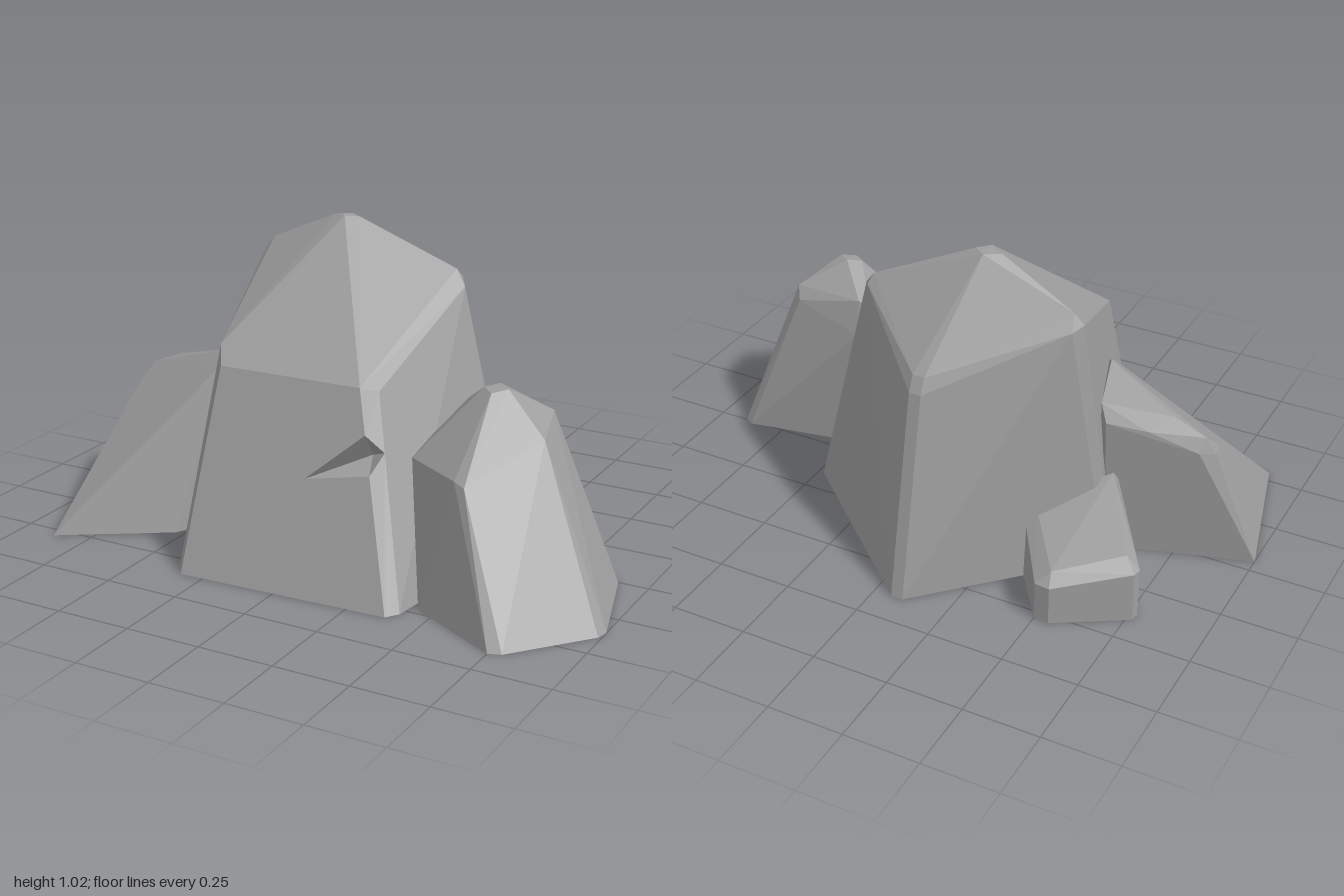
import * as THREE from 'three';
import { ConvexGeometry } from 'three/addons/geometries/ConvexGeometry.js';

const stone = new THREE.MeshStandardMaterial({
  color: 0x9e9e9e, flatShading: true, side: THREE.DoubleSide,
});
const V = (x, y, z) => new THREE.Vector3(x, y, z);
const ground = (...xz) => xz.map(([x, z]) => V(x, 0, z));
const upper = (...xyz) => xyz.map((p) => V(...p));

// Faceted hull of the corners, open underneath. Faces lying wholly in one of
// the "openings" are left out, and "patches" (triangles) are added instead.
function rock(name, points, openings = [], patches = []) {
  const pos = new ConvexGeometry(points).getAttribute('position');
  const out = [];
  for (let i = 0; i < pos.count; i += 3) {
    const tri = [0, 1, 2].map((k) => new THREE.Vector3().fromBufferAttribute(pos, i + k));
    const isBase = tri.every((p) => p.y < 1e-4);
    const isOpen = openings.some((set) =>
      tri.every((p) => set.some((q) => q.distanceTo(p) < 1e-5)));
    if (!isBase && !isOpen) out.push(...tri);
  }
  patches.forEach((t) => out.push(...t));
  const geo = new THREE.BufferGeometry().setFromPoints(out);
  geo.computeVertexNormals();
  const mesh = new THREE.Mesh(geo, stone);
  mesh.name = name;
  return mesh;
}

function mainRock() {
  // front face A-B-C-D and the bevel B-E-F-C beside it
  const A = V(-0.33, 0, 0.6), B = V(0.38, 0, 0.57);
  const C = V(0.17, 0.62, 0.34), D = V(-0.32, 0.62, 0.355);
  const E = V(0.41, 0, 0.53), F = V(0.21, 0.6, 0.29);
  // chipped notch: tip, lower and upper lip, side end, inner point
  const T = V(0.04, 0.34, 0.455);
  const L = B.clone().lerp(C, 0.61), U = B.clone().lerp(C, 0.79);
  const M = E.clone().lerp(F, 0.72), I = V(0.2, 0.4, 0.31);

  const points = [
    A, B, C, D, E, F,
    ...ground([-0.37, 0.545], [-0.57, -0.1], [-0.57, -0.16], [-0.1, -0.64],
      [-0.06, -0.64], [0.48, -0.16], [0.49, -0.11]),
    ...upper(
      [-0.36, 0.67, 0.29],                                              // front shoulder
      [-0.49, 0.86, -0.2], [-0.46, 0.9, -0.21], [-0.47, 0.85, -0.245],  // right shoulder
      [0.22, 0.87, -0.22], [0.26, 0.82, -0.2], [0.23, 0.84, -0.245],    // left shoulder
      [-0.1, 0.72, -0.48], [-0.06, 0.72, -0.48],                        // back shoulder
      [-0.1, 0.67, -0.505], [-0.06, 0.67, -0.505],
      [-0.2, 1.015, -0.17], [-0.11, 1.015, -0.17], [-0.15, 1.02, -0.14], // summit
      [-0.15, 1.015, -0.2]),
  ];
  const patches = [
    [A, B, L], [A, L, T], [A, T, D], [D, T, U], [D, U, C],
    [B, E, M], [B, M, L], [U, M, F], [U, F, C],
    [T, I, U], [U, I, M], [T, L, I], [L, M, I],
  ];
  return rock('mainRock', points, [[A, B, C, D], [B, E, F, C]], patches);
}

export function createModel() {
  const group = new THREE.Group();
  group.name = 'rockCluster';
  group.add(mainRock());

  group.add(rock('leftRock', [
    ...ground([0.87, -0.015], [0.9, 0], [1, 0.35], [0.99, 0.39], [0.79, 0.625],
      [0.75, 0.64], [0.45, 0.48], [0.42, 0.43], [0.42, 0.12], [0.46, 0.06]),
    ...upper(
      [0.34, 0.42, 0.2], [0.34, 0.42, 0.32], [0.36, 0.47, 0.21],
      [0.41, 0.55, 0.07], [0.45, 0.45, 0.035], [0.45, 0.57, 0.06],
      [0.68, 0.52, 0.05], [0.7, 0.56, 0.08],
      [0.74, 0.52, 0.24], [0.64, 0.61, 0.2],
      [0.58, 0.41, 0.455], [0.54, 0.42, 0.44],
      [0.52, 0.64, 0.2], [0.56, 0.65, 0.17], [0.6, 0.645, 0.2], [0.56, 0.635, 0.235]),
  ]));

  group.add(rock('rightRock', [
    ...ground([-1, 0.05], [-0.99, 0.09], [-0.87, 0.545], [-0.53, 0.33],
      [-0.51, 0.29], [-0.5, -0.08], [-0.54, -0.09]),
    ...upper(
      [-0.86, 0.4, 0], [-0.83, 0.455, -0.01], [-0.85, 0.4, 0.05], [-0.82, 0.41, -0.04],
      [-0.72, 0.5, -0.01], [-0.66, 0.46, -0.07],
      [-0.53, 0.47, -0.1], [-0.5, 0.52, -0.07],
      [-0.46, 0.58, 0.09], [-0.44, 0.56, 0.12], [-0.45, 0.55, 0.14]),
  ]));

  // low slab whose top rises towards the main rock
  group.add(rock('backSlab', [
    ...ground([-0.775, -0.37], [-0.77, -0.4], [-0.55, -0.535], [-0.5, -0.53],
      [-0.34, -0.3], [-0.57, -0.08]),
    ...upper(
      [-0.775, 0.17, -0.37], [-0.77, 0.17, -0.4], [-0.55, 0.13, -0.535], [-0.5, 0.13, -0.53],
      [-0.73, 0.21, -0.37], [-0.54, 0.17, -0.5],
      [-0.35, 0.2, -0.3], [-0.38, 0.23, -0.28], [-0.57, 0.27, -0.08], [-0.57, 0.31, -0.12]),
  ]));
  return group;
}
